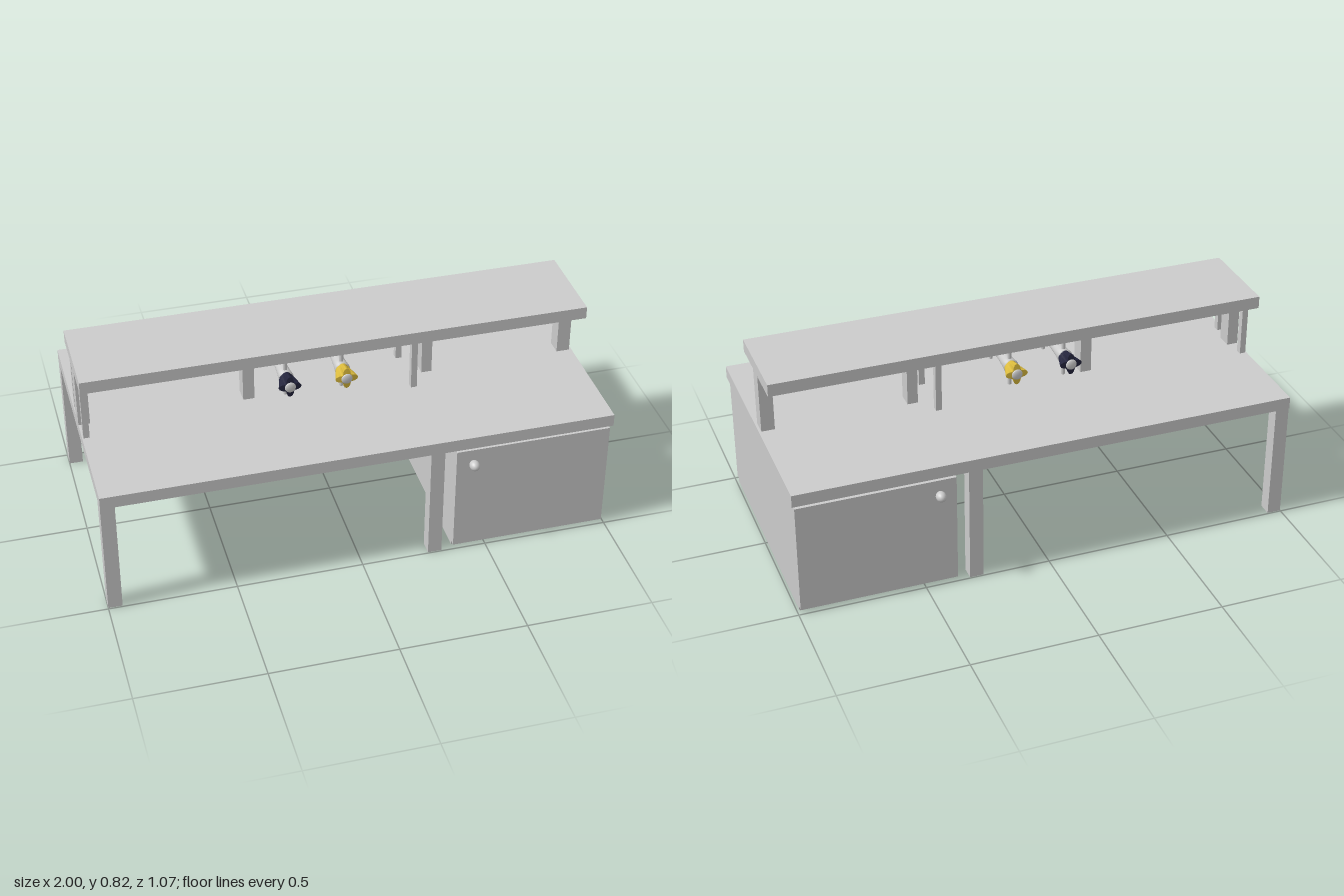
import * as THREE from 'three';

const grey = new THREE.MeshStandardMaterial({ color: 0xcccccc });
const navy = new THREE.MeshStandardMaterial({ color: 0x23243c, flatShading: true });
const yellow = new THREE.MeshStandardMaterial({ color: 0xd9b93c, flatShading: true });

export function createModel() {
  const root = new THREE.Group();

  const add = (name, geometry, material = grey, parent = root) => {
    const mesh = new THREE.Mesh(geometry, material);
    mesh.name = name;
    parent.add(mesh);
    return mesh;
  };
  // Box given by its limits on each axis
  const box = (name, x0, x1, y0, y1, z0, z1) =>
    add(name, new THREE.BoxGeometry(x1 - x0, y1 - y0, z1 - z0))
      .position.set((x0 + x1) / 2, (y0 + y1) / 2, (z0 + z1) / 2);

  // Desk top and raised shelf
  box('deskTop', -1, 1, 0.48, 0.53, -0.5, 0.5);
  box('shelf', -1, 0.99, 0.77, 0.82, -0.192, 0.173);

  // Four desk legs
  for (const x of [-1, 0.267]) {
    box('frontLeg', x, x + 0.055, 0, 0.48, 0.44, 0.495);
    box('backLeg', x, x + 0.055, 0, 0.48, -0.495, -0.44);
  }

  // Two cabinets back to back, each with a door and knob
  for (const s of [1, -1]) {
    const span = (a, b) => (s > 0 ? [a, b] : [-b, -a]);
    box('cabinet', 0.37, 0.99, 0, 0.48, ...span(0, 0.47));
    box('cabinetDoor', 0.37, 0.99, 0.015, 0.466, ...span(0.47, 0.493));
    const knob = add('doorKnob', new THREE.SphereGeometry(0.02, 20, 14));
    knob.scale.z = 1.25;
    knob.position.set(0.437, 0.405, s * 0.51);
  }

  // Thick posts along the middle of the shelf
  for (const [x0, x1] of [[-1, -0.955], [-0.355, -0.31], [0.368, 0.41], [0.937, 0.99]])
    box('shelfPost', x0, x1, 0.53, 0.77, -0.033, 0.031);

  // Hanging frame: thin plate on four slim posts
  box('framePlate', -0.995, 0.323, 0.757, 0.77, -0.117, 0.12);
  for (const x of [-0.995, 0.298])
    for (const z of [-0.117, 0.093])
      box('framePost', x, x + 0.024, 0.53, 0.757, z, z + 0.027);

  // Four-lobed handle flaring towards its outer end
  const handleGeometry = new THREE.CylinderGeometry(1, 1, 0.08, 32, 4);
  handleGeometry.rotateX(Math.PI / 2);
  const p = handleGeometry.attributes.position;
  for (let i = 0; i < p.count; i++) {
    const x = p.getX(i), y = p.getY(i), t = p.getZ(i) / 0.08 + 0.5;
    const lobe = 0.034 + 0.011 * Math.cos(4 * Math.atan2(y, x));
    const r = lobe * t + 0.024 * (1 - t);
    const tip = Math.hypot(x, y) > 0.5 ? -0.006 * t * (lobe / 0.045) : 0;
    p.setXYZ(i, x * r, y * r, p.getZ(i) + tip);
  }
  handleGeometry.computeVertexNormals();

  // Waisted roller body
  const profile = [[0, -0.125], [0.03, -0.125], [0.026, -0.09], [0.023, -0.04], [0.022, 0],
    [0.023, 0.04], [0.026, 0.09], [0.03, 0.125], [0, 0.125]];
  const rollerGeometry = new THREE.LatheGeometry(profile.map(([r, z]) => new THREE.Vector2(r, z)), 24);
  rollerGeometry.rotateX(Math.PI / 2);

  // Two rollers hung from the plate, with a handle at each end
  for (const [x, color, name] of [[-0.205, navy, 'navy'], [0.018, yellow, 'yellow']]) {
    const roller = new THREE.Group();
    roller.name = name + 'Roller';
    roller.position.set(x, 0.67, 0);
    root.add(roller);
    add('rollerBody', rollerGeometry, grey, roller);
    for (const s of [1, -1]) {
      const end = new THREE.Group();
      end.name = 'rollerEnd';
      end.rotation.y = s > 0 ? 0 : Math.PI;
      roller.add(end);
      add('handle', handleGeometry, color, end).position.z = 0.154;
      const cap = add('handleCap', new THREE.SphereGeometry(0.022, 20, 12), grey, end);
      cap.scale.z = 0.4;
      cap.position.z = 0.191;
      add('hangerRod', new THREE.CylinderGeometry(0.008, 0.008, 0.172, 12), grey, end)
        .position.set(0, 0.001, 0.107);
      add('hangerCollar', new THREE.CylinderGeometry(0.013, 0.013, 0.012, 12), grey, end)
        .position.set(0, 0.081, 0.107);
    }
  }
  return root;
}
